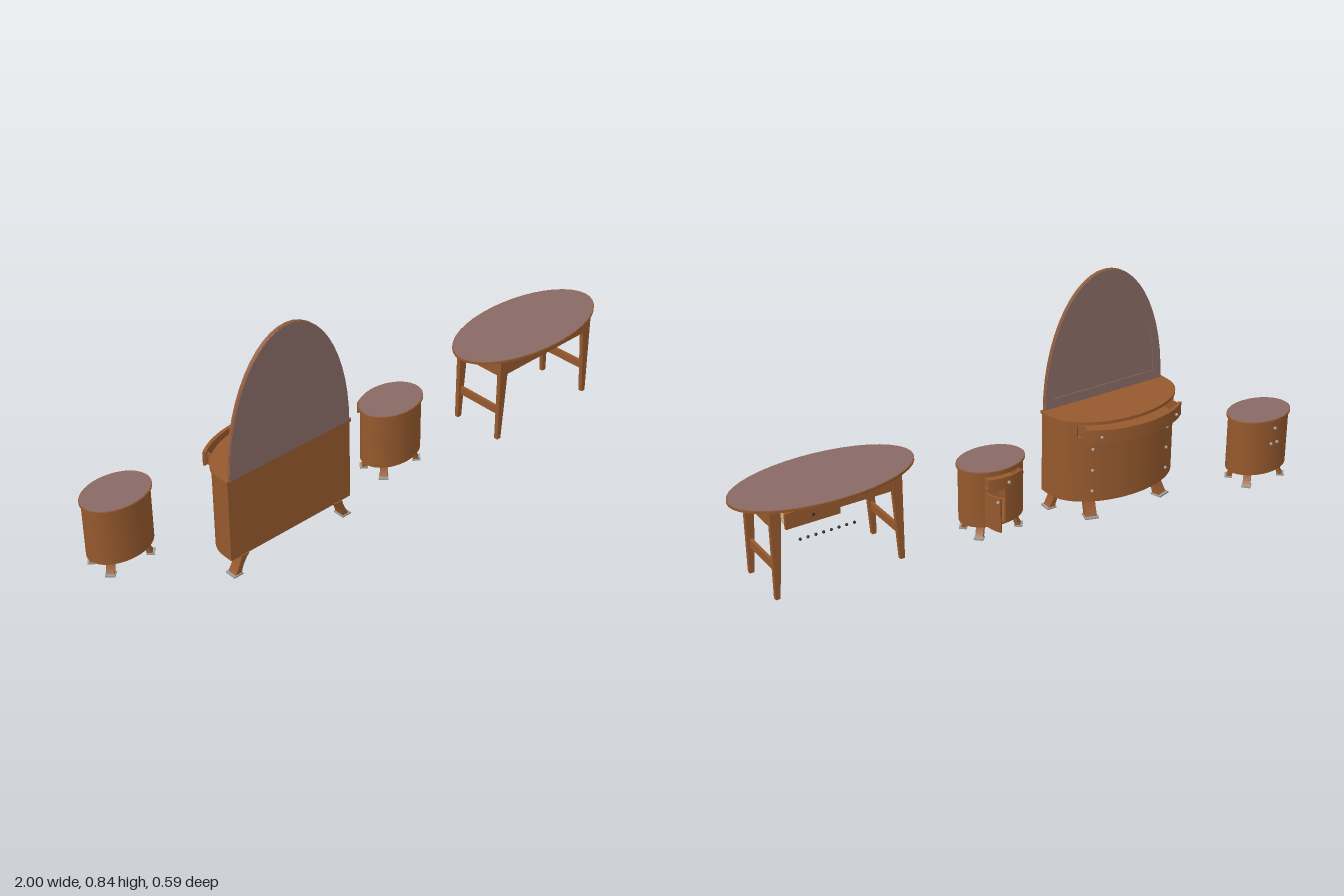
import * as THREE from 'three';
import { toCreasedNormals } from 'three/addons/utils/BufferGeometryUtils.js';

const paint = (name, color, side = THREE.FrontSide) => {
  const m = new THREE.MeshStandardMaterial({ color, side });
  m.name = name;
  return m;
};

export function createModel() {
  const wood = paint('wood', 0x96592d);
  const glass = paint('mauveGlass', 0x886a64);
  const cream = paint('paleWood', 0xcbb588);
  const metal = paint('metal', 0xa09c96);
  const dark = paint('darkKnob', 0x24201e);
  const rad = THREE.MathUtils.degToRad;

  function add(parent, name, geo, mat, x = 0, y = 0, z = 0) {
    const mesh = new THREE.Mesh(geo, mat);
    mesh.name = name;
    mesh.position.set(x, y, z);
    parent.add(mesh);
    return mesh;
  }
  function group(parent, name, x = 0, z = 0, turn = 0) {
    const g = new THREE.Group();
    g.name = name;
    g.position.set(x, 0, z);
    g.rotation.y = turn;
    parent.add(g);
    return g;
  }
  const box = (p, name, mat, w, h, d, x, y, z) => add(p, name, new THREE.BoxGeometry(w, h, d), mat, x, y, z);
  const knob = (p, mat, x, y, z, r = 0.006) => add(p, 'knob', new THREE.SphereGeometry(r, 10, 8), mat, x, y, z);

  // Plan outlines: angle 90 points to the rear (-z); the centre may be shifted in z
  function arc(rx, rz, a0, a1, cz = 0, n = 40) {
    const pts = [];
    for (let i = 0; i <= n; i++) {
      const a = rad(a0 + (a1 - a0) * i / n);
      pts.push(new THREE.Vector2(rx * Math.cos(a), rz * Math.sin(a) - cz));
    }
    return pts;
  }
  function slab(p, name, pts, y0, y1, mat) {
    const g = new THREE.ExtrudeGeometry(new THREE.Shape(pts), { depth: y1 - y0, bevelEnabled: false });
    g.rotateX(-Math.PI / 2);
    return add(p, name, toCreasedNormals(g, 0.5), mat, 0, y0, 0);
  }
  // Curved upright panel of thickness t
  const sector = (p, name, rx, rz, t, a0, a1, y0, y1, mat, cz = 0) =>
    slab(p, name, [...arc(rx, rz, a0, a1, cz), ...arc(rx - t, rz - t, a0, a1, cz).reverse()], y0, y1, mat);
  const oval = (p, name, rx, rz, y0, y1, mat) => slab(p, name, arc(rx, rz, 0, 351, 0, 39), y0, y1, mat);

  // Glass oval with a wooden edge band
  function ovalTop(p, rx, rz, y0, y1) {
    oval(p, 'glassTop', rx - 0.003, rz - 0.003, y0, y1, glass);
    sector(p, 'topEdge', rx, rz, 0.0035, 0, 360, y0 + 0.001, y1 - 0.001, wood);
  }

  // Splayed curved leg with a metal shoe
  function curvedLeg(p, x, z, dx, dz, h, s) {
    const g = group(p, 'leg', x, z, -Math.atan2(dz, dx));
    const shape = new THREE.Shape();
    shape.moveTo(-0.014 * s, h);
    shape.quadraticCurveTo(0.016 * s, h * 0.55, 0.022 * s, 0);
    shape.lineTo(0.05 * s, 0);
    shape.quadraticCurveTo(0.03 * s, h * 0.4, 0.018 * s, h);
    const geo = new THREE.ExtrudeGeometry(shape, { depth: 0.036 * s, bevelEnabled: false, curveSegments: 8 });
    add(g, 'legPost', toCreasedNormals(geo, 0.5), wood, 0, 0, -0.018 * s);
    box(g, 'legShoe', metal, 0.036 * s, 0.006, 0.043 * s, 0.036 * s, 0.003, 0);
  }

  // Round bedside cabinet, optionally with its drawer and door open
  function bedside(p, x, z, open) {
    const g = group(p, 'bedsideCabinet', x, z);
    const rx = 0.119, rz = 0.085, t = 0.007;
    ovalTop(g, 0.125, 0.091, 0.289, 0.298);
    const legs = group(g, 'legs');
    legs.position.y = 0.04;
    for (const sx of [-1, 1]) for (const sz of [-1, 1])
      curvedLeg(legs, sx * 0.06, sz * 0.03, sx * 0.75, sz * 0.66, 0.052, 0.75);
    if (!open) {
      oval(g, 'body', rx, rz, 0.09, 0.289, wood);
      knob(g, metal, 0, 0.262, -rz - 0.003);
      knob(g, metal, -0.014, 0.205, -rz - 0.003);
      knob(g, metal, 0.014, 0.205, -rz - 0.003);
      return;
    }
    oval(g, 'floor', rx, rz, 0.09, 0.097, wood);
    oval(g, 'shelf', rx, rz, 0.225, 0.233, wood);
    oval(g, 'ceiling', rx, rz, 0.277, 0.289, wood);
    sector(g, 'lowerWall', rx, rz, t, 90, 414, 0.097, 0.225, wood);
    sector(g, 'upperWall', rx, rz, t, 126, 414, 0.233, 0.277, wood);
    // Pulled-out drawer
    const d = group(g, 'drawer', 0, -0.02);
    sector(d, 'drawerFront', rx, rz, t, 54, 126, 0.234, 0.276, wood);
    box(d, 'drawerFloor', wood, 0.12, 0.004, 0.085, 0, 0.238, -0.03);
    for (const s of [-1, 1]) box(d, 'drawerSide', wood, 0.004, 0.032, 0.078, s * 0.06, 0.253, -0.031);
    knob(d, metal, 0, 0.255, -rz - 0.003);
    // Swung-out door, hinged on its outer edge
    const hx = rx * Math.cos(rad(54)), hz = -rz * Math.sin(rad(54));
    const hinge = group(g, 'doorHinge', hx, hz, -1.15);
    const door = group(hinge, 'door', -hx, -hz);
    sector(door, 'doorPanel', rx, rz, t, 54, 90, 0.097, 0.224, wood);
    knob(door, metal, 0.008, 0.21, -rz - 0.003);
  }

  // Bow-fronted dressing table with a tall arched mirror
  function dresser(p) {
    const g = group(p, 'dressingTable', -0.412, 0, -0.04);
    const rx = 0.252, rz = 0.158, cz = 0.058, flat = 0.1;
    const plan = (e, back) => [...arc(rx + e, rz + e, 0, 180, cz),
      new THREE.Vector2(-rx - e, -back), new THREE.Vector2(rx + e, -back)];
    slab(g, 'body', plan(0, flat), 0.068, 0.312, wood);
    slab(g, 'top', plan(0.005, flat + 0.002), 0.364, 0.375, wood);
    box(g, 'backPanel', wood, 2 * rx, 0.053, 0.01, 0, 0.338, flat - 0.005);
    for (const s of [-1, 1]) {
      box(g, 'sidePanel', wood, 0.01, 0.053, flat - cz, s * (rx - 0.005), 0.338, (flat + cz) / 2);
      sector(g, 'frontCheek', rx, rz, 0.01, s > 0 ? 0 : 143, s > 0 ? 37 : 180, 0.312, 0.364, wood, cz);
    }
    // Pulled-out top drawer
    const d = group(g, 'topDrawer', 0, -0.05);
    sector(d, 'drawerFront', rx, rz, 0.012, 37, 143, 0.314, 0.363, wood, cz);
    slab(d, 'drawerFloor', [...arc(rx - 0.01, rz - 0.01, 40, 140, cz),
      new THREE.Vector2(-0.185, -0.09), new THREE.Vector2(0.185, -0.09)], 0.315, 0.32, wood);
    for (const s of [-1, 1]) box(d, 'drawerSide', wood, 0.006, 0.045, 0.12, s * 0.185, 0.338, 0.03);
    // Two columns of knobs
    for (const a of [52, 128]) {
      const kx = (rx + 0.003) * Math.cos(rad(a)), kz = cz - (rz + 0.003) * Math.sin(rad(a));
      for (const y of [0.11, 0.19, 0.27]) knob(g, metal, kx, y, kz);
      knob(d, metal, kx, 0.338, kz);
    }
    // Legs
    for (const s of [-1, 1]) {
      curvedLeg(g, s * 0.195, 0.086, s, 0, 0.07, 1);
      curvedLeg(g, s * 0.138, -0.012, s * 0.3, -1, 0.07, 1.15);
    }
    // Mirror: wooden edge, glass faces, recessed inner pane
    const m = group(g, 'mirror', 0, 0);
    m.position.y = 0.375;
    const arch = (w, h, y = 0) => arc(w, h, 0, 180, -y, 26);
    const plate = (name, pts, hole, depth, z, mat) => {
      const shape = new THREE.Shape(pts);
      if (hole) shape.holes.push(new THREE.Path(hole));
      const geo = new THREE.ExtrudeGeometry(shape, { depth, bevelEnabled: false });
      add(m, name, toCreasedNormals(geo, 0.5), mat, 0, 0, z);
    };
    plate('mirrorBoard', arch(0.246, 0.46), null, 0.009, 0.095, wood);
    plate('mirrorBack', arch(0.245, 0.459), null, 0.002, 0.104, glass);
    plate('mirrorPane', arch(0.215, 0.42, 0.025), null, 0.001, 0.094, glass);
    plate('mirrorBorder', arch(0.245, 0.459), arch(0.21, 0.4, 0.035), 0.004, 0.091, glass);
  }

  // Oval writing table with tapered legs and two rear drawers
  function table(p) {
    const g = group(p, 'ovalTable', 0.678, 0.13, -0.036);
    ovalTop(g, 0.322, 0.16, 0.366, 0.376);
    for (const s of [-1, 1]) {
      const leg = new THREE.Shape([[0.232, 0.05], [0.232, 0.366], [0.194, 0.366], [0.197, 0.305], [0.216, 0.05]]
        .map(([x, y]) => new THREE.Vector2(s * x, y)));
      for (const z of [-0.092, 0.098])
        add(g, 'tableLeg', new THREE.ExtrudeGeometry(leg, { depth: 0.015, bevelEnabled: false }), wood, 0, 0, z - 0.0075);
      box(g, 'sideApron', wood, 0.012, 0.061, 0.175, s * 0.222, 0.3355, 0.003);
      box(g, 'stretcher', wood, 0.01, 0.03, 0.175, s * 0.218, 0.16, 0.003);
    }
    box(g, 'frontApron', wood, 0.4, 0.061, 0.012, 0, 0.3355, 0.098);
    box(g, 'drawerDivider', wood, 0.012, 0.061, 0.18, 0, 0.3355, 0.003);
    // Drawers: the one on the left is pulled out
    for (const [x, out] of [[0.102, 0.035], [-0.102, 0]]) {
      const d = group(g, 'tableDrawer', x, -0.092 - out);
      box(d, 'drawerFront', wood, 0.188, 0.055, 0.01, 0, 0.336, 0);
      box(d, 'drawerFloor', cream, 0.17, 0.004, 0.15, 0, 0.314, 0.08);
      box(d, 'drawerEnd', cream, 0.17, 0.044, 0.004, 0, 0.335, 0.153);
      for (const s of [-1, 1]) box(d, 'drawerSide', cream, 0.004, 0.046, 0.15, s * 0.085, 0.335, 0.08);
      knob(d, dark, 0, 0.336, -0.007, 0.005);
    }
    // Row of loose knobs below the drawers
    for (let i = 0; i < 8; i++) knob(g, dark, -0.044 + i * 0.027, 0.254, -0.12, 0.005);
  }

  const model = new THREE.Group();
  model.name = 'bedroomFurnitureSet';
  bedside(model, -0.875, -0.202, false);
  dresser(model);
  bedside(model, 0.094, 0.045, true);
  table(model);
  return model;
}
